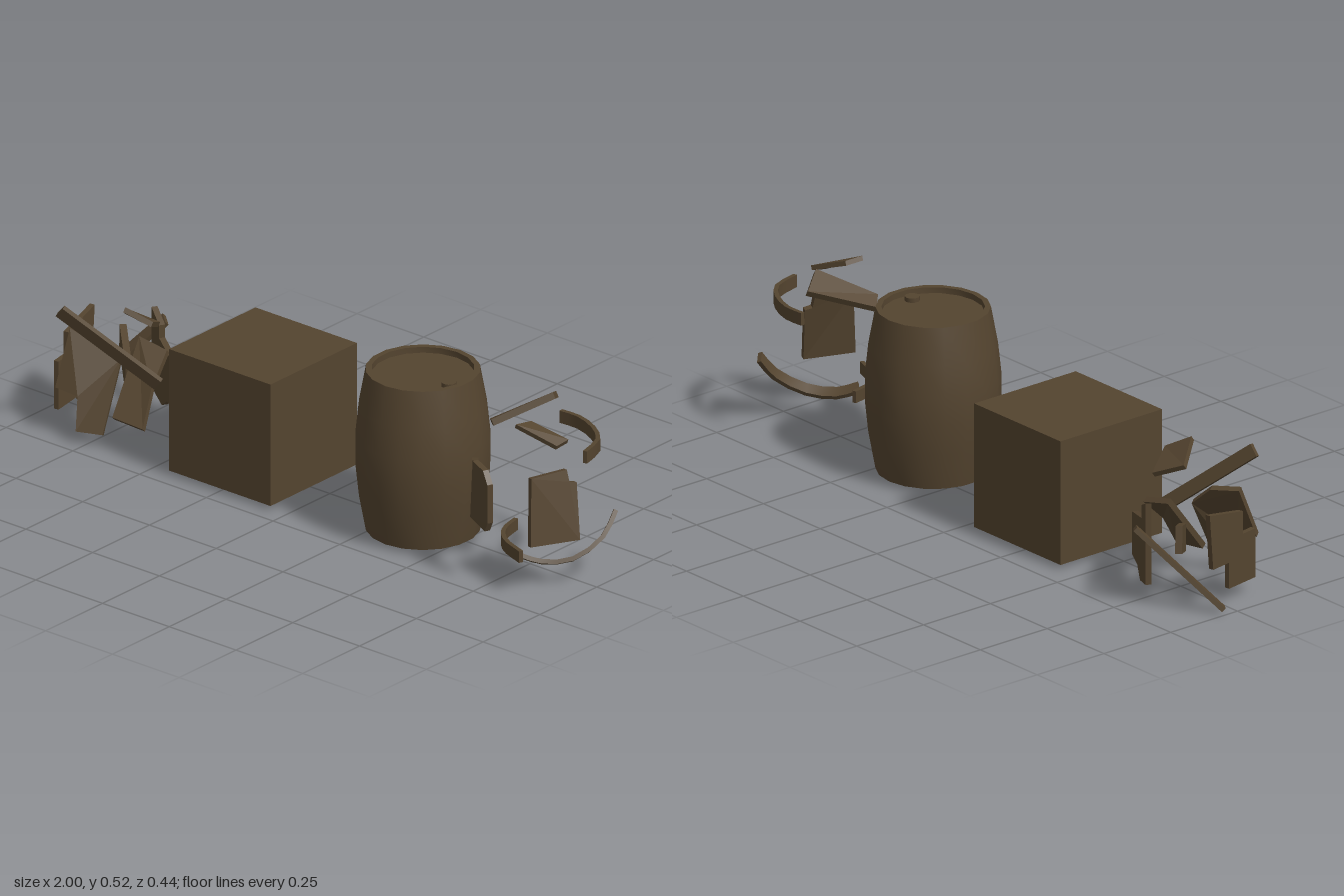
import * as THREE from 'three';
import { toCreasedNormals } from 'three/addons/utils/BufferGeometryUtils.js';

const wood = new THREE.MeshStandardMaterial({ color: 0x54442f, side: THREE.DoubleSide });
wood.name = 'dark wood';

const vec = (p) => new THREE.Vector3(...p);

function addMesh(parent, name, geometry) {
  const mesh = new THREE.Mesh(geometry, wood);
  mesh.name = name;
  parent.add(mesh);
  return mesh;
}

function flatGeometry(corners) {
  const geo = new THREE.BufferGeometry().setFromPoints(corners);
  geo.computeVertexNormals();
  return geo;
}

// Slab of even thickness whose outline is a loop of 3D corners
function slab(points, thickness) {
  const pts = points.map(vec);
  const n = new THREE.Vector3();
  pts.forEach((p, i) => n.add(p.clone().cross(pts[(i + 1) % pts.length])));
  n.normalize();
  const u = pts[1].clone().sub(pts[0]);
  u.addScaledVector(n, -u.dot(n)).normalize();
  const v = n.clone().cross(u);
  const flat = pts.map((p) => new THREE.Vector2(p.dot(u), p.dot(v)));
  const top = pts.map((p) => p.clone().addScaledVector(n, thickness / 2));
  const low = pts.map((p) => p.clone().addScaledVector(n, -thickness / 2));
  const out = [];
  for (const [a, b, c] of THREE.ShapeUtils.triangulateShape(flat, [])) {
    out.push(top[a], top[b], top[c], low[a], low[c], low[b]);
  }
  pts.forEach((p, i) => {
    const j = (i + 1) % pts.length;
    out.push(low[i], low[j], top[j], low[i], top[j], top[i]);
  });
  return flatGeometry(out);
}

// Straight stick from a to b, widened along the direction w
function stick(a, b, w, width, thickness) {
  const side = vec(w).setLength(width / 2);
  const A = vec(a), B = vec(b);
  return slab([A.clone().sub(side), B.clone().sub(side), B.clone().add(side), A.clone().add(side)]
    .map((p) => p.toArray()), thickness);
}

// Bent band along a curve, widened along the direction w
function band(path, w, width, thickness) {
  const curve = new THREE.CatmullRomCurve3(path.map(vec));
  const steps = 8, axis = vec(w).normalize(), rings = [], out = [];
  for (let i = 0; i <= steps; i++) {
    const p = curve.getPoint(i / steps);
    const o = curve.getTangent(i / steps).cross(axis).normalize();
    rings.push([[1, 1], [1, -1], [-1, -1], [-1, 1]].map(([s, t]) => p.clone()
      .addScaledVector(axis, s * width / 2).addScaledVector(o, t * thickness / 2)));
  }
  const quad = (a, b, c, d) => out.push(a, b, c, a, c, d);
  for (let i = 0; i < steps; i++) {
    for (let k = 0; k < 4; k++) {
      const m = (k + 1) % 4;
      quad(rings[i][k], rings[i][m], rings[i + 1][m], rings[i + 1][k]);
    }
  }
  quad(...rings[0].slice().reverse());
  quad(...rings[steps]);
  return toCreasedNormals(flatGeometry(out), 0.6);
}

function buildBarrel() {
  const barrel = new THREE.Group();
  barrel.name = 'barrel';
  // Bulging body with a sunken lid and base
  const profile = [[0, 0.05], [0.15, 0.05], [0.15, 0.02], [0.165, 0.02], [0.185, 0.13], [0.195, 0.225],
    [0.195, 0.31], [0.185, 0.405], [0.165, 0.515], [0.148, 0.515], [0.148, 0.497], [0, 0.497]]
    .map(([x, y]) => new THREE.Vector2(x, y));
  addMesh(barrel, 'barrelBody', toCreasedNormals(new THREE.LatheGeometry(profile, 18), 0.6));
  addMesh(barrel, 'bung', new THREE.CylinderGeometry(0.022, 0.022, 0.014, 10)).position.set(0.11, 0.503, 0.015);
  barrel.position.set(0.37, 0, 0.025);
  return barrel;
}

function buildCrateDebris() {
  const g = new THREE.Group();
  g.name = 'crateDebris';
  addMesh(g, 'backStick', stick([-0.98, 0.015, -0.035], [-0.79, 0.25, -0.205], [0.71, -0.18, 0.58], 0.045, 0.014));
  addMesh(g, 'longStick', stick([-0.84, 0.4, 0.2], [-0.6, 0.19, 0.05], [0.66, 0.75, 0], 0.04, 0.016));
  // Side panel standing almost across the width
  const sidePanel = [[-0.065, 0.3], [-0.05, 0.13], [0.02, 0.13], [0.02, 0.05], [0.135, 0.05],
    [0.135, 0.2], [0.08, 0.2], [0.08, 0.27]];
  addMesh(g, 'sidePanel', slab(sidePanel.map(([z, y]) => [-0.934 + z * 0.175, y, z]), 0.016));
  // Broken panel at the back, given as distance along and height
  const backPanel = [[0, 0.31], [0.3, 0.28], [0.3, 0.24], [1, 0.2], [1, 0.07], [0.6, 0.07], [0.4, 0.04], [0, 0.06]];
  addMesh(g, 'backPanel', slab(backPanel.map(([t, y]) => [-0.785 + 0.19 * t, y, -0.15 + 0.11 * t]), 0.018));
  addMesh(g, 'shortBoard', slab([[-0.87, 0.17, -0.11], [-0.86, 0.25, -0.1], [-0.735, 0.19, 0.02],
    [-0.745, 0.11, 0.01]], 0.02));
  addMesh(g, 'looseBoard', slab([[-0.745, 0.365, 0.02], [-0.685, 0.415, 0.1], [-0.615, 0.375, 0.06],
    [-0.665, 0.33, -0.03]], 0.016));
  addMesh(g, 'leaningBoard', slab([[-0.735, 0.27, -0.03], [-0.64, 0.25, -0.04], [-0.62, 0.17, 0.05],
    [-0.595, 0.07, 0.12], [-0.70, 0.08, 0.13]], 0.018));
  addMesh(g, 'frontPanel', slab([[-0.87, 0.31, 0.12], [-0.79, 0.3, 0.08], [-0.72, 0.24, 0.07], [-0.705, 0.04, 0.17],
    [-0.78, 0.04, 0.2], [-0.79, 0.14, 0.18], [-0.865, 0.15, 0.19]], 0.018));
  return g;
}

function buildBarrelDebris() {
  const g = new THREE.Group();
  g.name = 'barrelDebris';
  addMesh(g, 'topStave', slab([[0.665, 0.445, 0.065], [0.785, 0.52, -0.065], [0.735, 0.485, -0.138],
    [0.63, 0.425, 0.03]], 0.02));
  addMesh(g, 'smallStave', slab([[0.81, 0.5, 0.135], [0.82, 0.495, 0.08], [0.93, 0.457, 0.045],
    [0.925, 0.45, 0.09]], 0.014));
  // Curved fragment made of two panels
  addMesh(g, 'sideShardOuter', slab([[0.635, 0.205, 0.1], [0.685, 0.195, 0.175], [0.69, 0.37, 0.17],
    [0.655, 0.355, 0.13], [0.635, 0.275, 0.1]], 0.018));
  addMesh(g, 'sideShardInner', slab([[0.685, 0.195, 0.175], [0.76, 0.18, 0.2], [0.775, 0.21, 0.205],
    [0.775, 0.33, 0.205], [0.75, 0.365, 0.195], [0.69, 0.37, 0.17]], 0.018));
  addMesh(g, 'notchedShard', slab([[0.89, 0.37, 0.165], [0.925, 0.37, 0.05], [0.935, 0.335, 0.05],
    [0.945, 0.33, 0.03], [0.975, 0.165, 0.05], [0.91, 0.17, 0.19]], 0.018));
  // Broken hoops
  addMesh(g, 'upperHoop', band([[0.735, 0.411, -0.153], [0.8, 0.411, -0.155], [0.88, 0.411, -0.125],
    [0.945, 0.411, -0.07], [0.973, 0.411, 0.02]], [0, 1, 0], 0.038, 0.013));
  addMesh(g, 'lowerHoop', band([[0.718, 0.13, 0.025], [0.738, 0.13, 0.1], [0.79, 0.13, 0.155],
    [0.878, 0.13, 0.19]], [0, 1, 0], 0.036, 0.013));
  addMesh(g, 'tiltedHoop', band([[0.825, 0.098, 0.13], [0.87, 0.078, 0.09], [0.935, 0.085, 0.03],
    [0.98, 0.14, -0.05], [0.982, 0.205, -0.105]], [0.62, 0.46, 0.64], 0.036, 0.013));
  return g;
}

export function createModel() {
  const model = new THREE.Group();
  model.name = 'crateAndBarrelSet';
  addMesh(model, 'crate', new THREE.BoxGeometry(0.38, 0.38, 0.38)).position.set(-0.242, 0.21, 0.01);
  model.add(buildBarrel(), buildCrateDebris(), buildBarrelDebris());
  return model;
}
